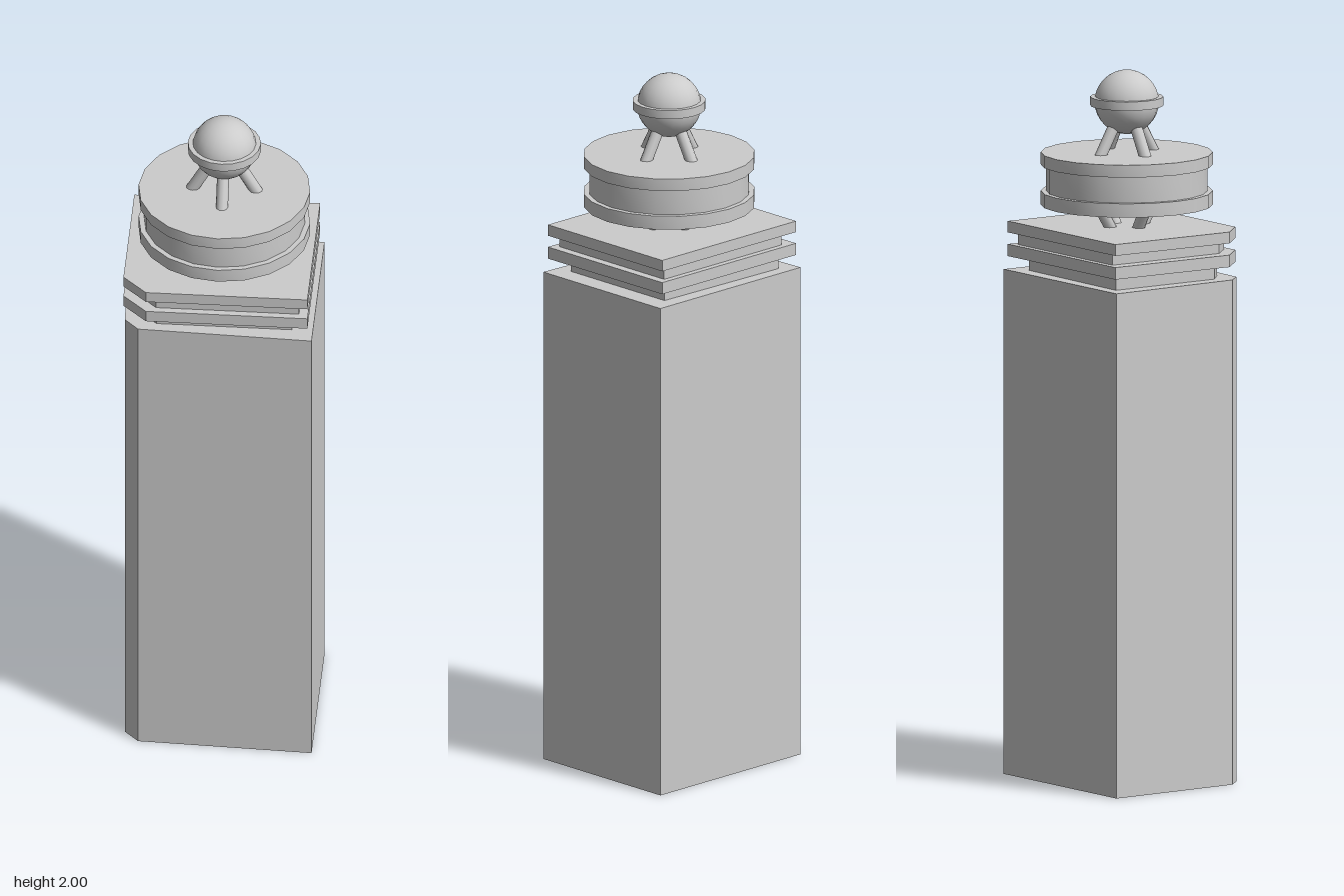
import * as THREE from 'three';
import { toCreasedNormals } from 'three/addons/utils/BufferGeometryUtils.js';

const CX = 0.01; // axis of the round parts
const SIDES = 20;

// Upright prism from an [x, z] outline; openBottom drops the lower cap
function prism(outline, y0, y1, openBottom = false) {
  const shape = new THREE.Shape(outline.map(([x, z]) => new THREE.Vector2(x, -z)));
  const geo = new THREE.ExtrudeGeometry(shape, { depth: y1 - y0, bevelEnabled: false });
  geo.rotateX(-Math.PI / 2);
  if (openBottom) {
    const p = geo.attributes.position;
    const kept = [];
    for (let i = 0; i < p.count; i += 3) {
      if (Math.max(p.getY(i), p.getY(i + 1), p.getY(i + 2)) > 1e-4) kept.push(i, i + 1, i + 2);
    }
    geo.setIndex(kept);
  }
  return geo.translate(0, y0, 0);
}

// Rectangle with the front corner on -x cut off
const cutRect = (x0, x1, z0, z1, cut) =>
  [[x0, z0], [x1, z0], [x1, z1], [x0 + cut, z1], [x0, z1 - cut]];

// Round part turned from a [radius, y] profile, with sharp rims
function turned(profile) {
  const points = profile.map(([r, y]) => new THREE.Vector2(r, y));
  return toCreasedNormals(new THREE.LatheGeometry(points, SIDES), Math.PI / 5).translate(CX, 0, 0);
}

export function createModel() {
  const model = new THREE.Group();
  model.name = 'tower';
  const grey = new THREE.MeshStandardMaterial({ color: 0xcccccc });
  const shell = new THREE.MeshStandardMaterial({ color: 0xcccccc, side: THREE.DoubleSide });

  function add(name, geometry, material = grey, parent = model) {
    const mesh = new THREE.Mesh(geometry, material);
    mesh.name = name;
    parent.add(mesh);
    return mesh;
  }

  // Hollow shaft, open underneath, with slightly skewed walls
  const shaft = [[-0.273, -0.235], [0.272, -0.235], [0.272, 0.234], [-0.215, 0.215], [-0.255, 0.173]];
  add('shaft', prism(shaft, 0, 1.425, true), shell);

  // Stepped cornice
  const neck = [[-0.22, -0.2], [0.213, -0.19], [0.213, 0.185], [-0.165, 0.185], [-0.215, 0.14]];
  const slab = cutRect(-0.26, 0.26, -0.23, 0.228, 0.068);
  add('neck', prism(neck, 1.425, 1.463));
  add('lowerSlab', prism(slab, 1.463, 1.497));
  add('corniceRecess', prism(cutRect(-0.22, 0.235, -0.212, 0.208, 0.055), 1.497, 1.53));
  add('upperSlab', prism(slab, 1.53, 1.562));

  // Drum with a rim at the top and bottom
  add('drum', turned([
    [0, 1.62], [0.24, 1.62], [0.24, 1.659], [0.225, 1.659],
    [0.225, 1.733], [0.24, 1.733], [0.24, 1.768], [0, 1.768],
  ]));

  // Slanted struts, four below the drum and four below the ball
  function struts(name, rLow, yLow, rHigh, yHigh) {
    const ring = new THREE.Group();
    ring.name = name;
    ring.position.x = CX;
    const length = Math.hypot(rHigh - rLow, yHigh - yLow);
    for (let i = 0; i < 4; i++) {
      const geo = new THREE.CylinderGeometry(0.017, 0.017, length, 10);
      geo.rotateZ(-Math.atan2(rHigh - rLow, yHigh - yLow));
      geo.translate((rLow + rHigh) / 2, (yLow + yHigh) / 2, 0);
      geo.rotateY(i * Math.PI / 2);
      add('strut', geo, grey, ring);
    }
    model.add(ring);
  }
  struts('lowerStruts', 0.05, 1.55, 0.1, 1.635);
  struts('upperStruts', 0.092, 1.76, 0.03, 1.87);

  // Ball with a belt
  add('ball', new THREE.SphereGeometry(0.09, SIDES, 16)).position.set(CX, 1.91, 0);
  add('ballBelt', turned([[0.085, 1.9], [0.102, 1.9], [0.102, 1.925], [0.085, 1.925]]));

  return model;
}
